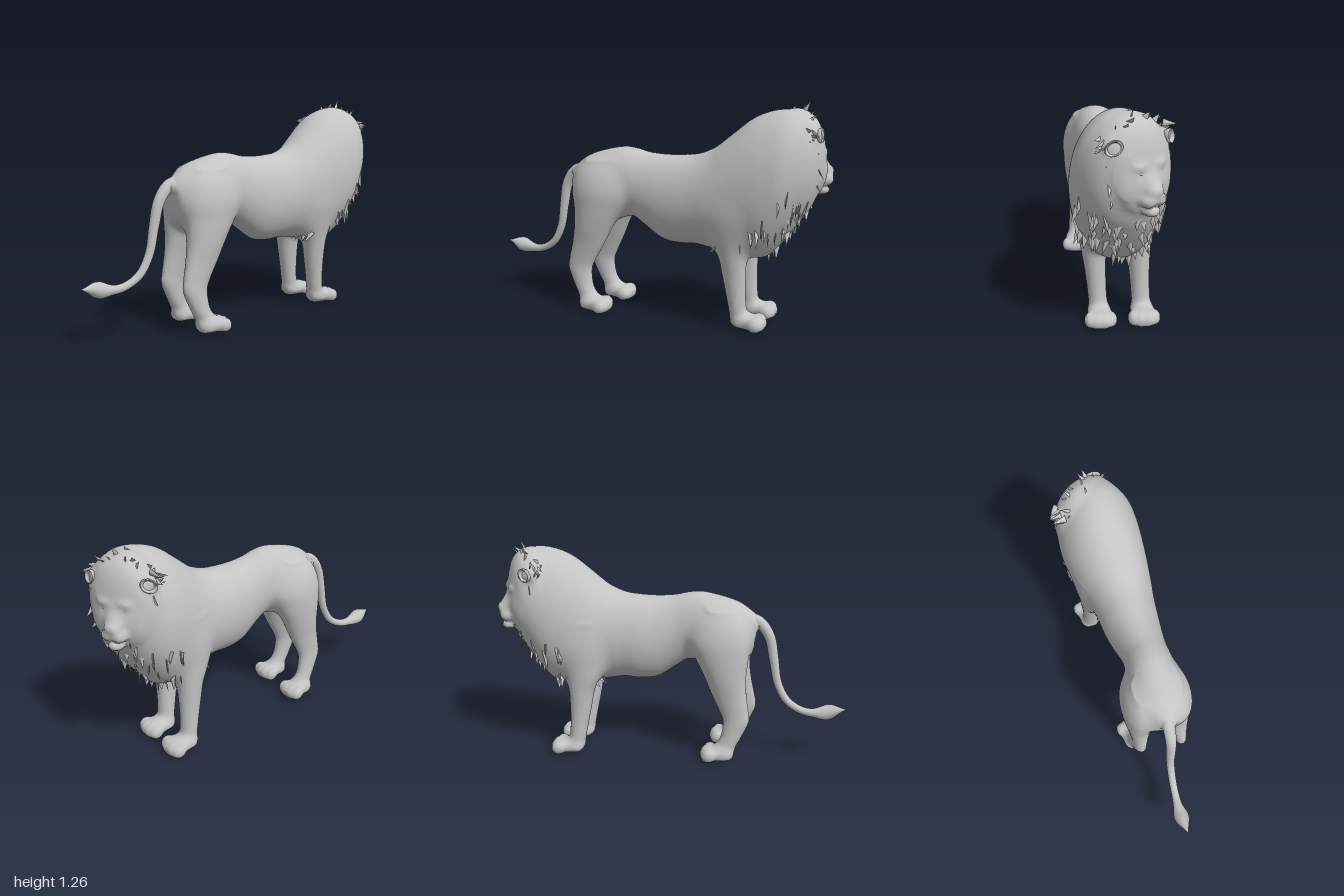
import * as THREE from 'three';

const fur = new THREE.MeshStandardMaterial({ color: 0xc4c4c4 });
fur.name = 'grey fur';

let seed = 7;
const rand = () => (seed = (seed * 16807) % 2147483647) / 2147483647;

// Smoothly interpolated row at t
function section(rows, t) {
  const i = Math.min(Math.floor(t), rows.length - 2), f = t - i;
  const r = k => rows[Math.max(0, Math.min(rows.length - 1, k))];
  return rows[0].map((_, k) => {
    const a = r(i - 1)[k], b = r(i)[k], c = r(i + 1)[k], d = r(i + 2)[k];
    return b + 0.5 * f * (c - a + f * (2 * a - 5 * b + 4 * c - d + f * (3 * (b - c) + d - a)));
  });
}

// Approximate distance to an ellipsoid
function ellipsoid(x, y, z, rx, ry, rz) {
  const k0 = Math.hypot(x / rx, y / ry, z / rz);
  const k1 = Math.hypot(x / rx / rx, y / ry / ry, z / rz / rz);
  return k1 < 1e-6 ? -Math.min(rx, ry, rz) : k0 * (k0 - 1) / k1;
}
const ballField = ([cx, cy, cz], [rx, ry, rz]) => (x, y, z) => ellipsoid(x - cx, y - cy, z - cz, rx, ry, rz);

// Distance to a body of elliptical sections [s, a0, a1, b0, b1], s rising along x (a = y) or y (a = x)
function loftField(rows, alongX) {
  const s0 = rows[0][0], s1 = rows[rows.length - 1][0], N = 120, table = [];
  for (let i = 0, t = 0; i <= N; i++) {
    const s = s0 + (s1 - s0) * i / N;
    while (t < rows.length - 1.01 && section(rows, t)[0] < s) t += 0.01;
    const [, a0, a1, b0, b1] = section(rows, t);
    table.push([(a0 + a1) / 2, (a1 - a0) / 2, (b0 + b1) / 2, (b1 - b0) / 2]);
  }
  return (x, y, z) => {
    const s = alongX ? x : y, a = alongX ? y : x, over = Math.max(s0 - s, s - s1);
    if (over > 0.08) return 1;
    const u = Math.max(0, Math.min(N - 1e-6, (s - s0) / (s1 - s0) * N)), i = Math.floor(u), f = u - i;
    const p = table[i], q = table[i + 1], mix = k => p[k] + (q[k] - p[k]) * f;
    return Math.max(ellipsoid(a - mix(0), z - mix(2), 0, mix(1), mix(3), 1), over);
  };
}

// Smoothly joined surface of all [field, blend] parts, meshed on a regular grid
function skin(parts, min, size, h) {
  const n = size.map(v => Math.ceil(v / h)), step = [1, n[0], n[0] * n[1]];
  const val = new Float32Array(n[0] * n[1] * n[2]), id = new Int32Array(val.length);
  const each = (from, fn) => {
    for (let k = from; k < n[2] - from; k++) for (let j = from; j < n[1] - from; j++)
      for (let i = from; i < n[0] - from; i++) fn(i + j * step[1] + k * step[2], [i, j, k]);
  };
  each(0, (o, c) => {
    const [x, y, z] = c.map((v, a) => min[a] + v * h);
    let d = 1;
    for (const [field, blend] of parts) {
      const e = field(x, y, z), w = Math.max(blend - Math.abs(d - e), 0);
      d = Math.min(d, e) - w * w / blend / 4;
    }
    val[o] = d;
  });
  const pos = [], index = [];
  const corner = c => (c & 1) * step[0] + (c >> 1 & 1) * step[1] + (c >> 2 & 1) * step[2];
  each(1, (o, cell) => {
    const sum = [0, 0, 0];
    let count = 0;
    for (let c = 0; c < 8; c++) for (let u = 0; u < 3; u++) {
      if (c >> u & 1) continue;
      const a = val[o + corner(c)], b = val[o + corner(c) + step[u]];
      if (a < 0 === b < 0) continue;
      for (let k = 0; k < 3; k++) sum[k] += (c >> k & 1) + (k === u ? a / (a - b) : 0);
      count++;
    }
    if (!count) return;
    id[o] = pos.length / 3;
    pos.push(...sum.map((v, k) => min[k] + (cell[k] + v / count) * h));
  });
  each(2, o => {
    for (let u = 0; u < 3; u++) {
      const inside = val[o] < 0;
      if (inside === val[o + step[u]] < 0) continue;
      const v = step[(u + 1) % 3], w = step[(u + 2) % 3];
      const a = id[o - v - w], b = id[o - w], c = id[o], d = id[o - v];
      index.push(...(inside ? [a, b, c, a, c, d] : [a, c, b, a, d, c]));
    }
  });
  const g = new THREE.BufferGeometry();
  g.setAttribute('position', new THREE.Float32BufferAttribute(pos, 3));
  g.setIndex(index);
  g.computeVertexNormals();
  return g;
}

function add(parent, name, geometry, p = [0, 0, 0], scale = [1, 1, 1]) {
  const m = new THREE.Mesh(geometry, fur);
  m.name = name;
  m.position.set(...p);
  m.scale.set(...scale);
  parent.add(m);
  return m;
}

// Flat pointed lock of hair, its broad side towards +x
const lock = new THREE.ConeGeometry(0.028, 0.1, 4).translate(0, 0.02, 0).toNonIndexed();
lock.computeVertexNormals();
function tuft(parent, name, p, dir, size) {
  const m = add(parent, name, lock, p.toArray(), [size, size * (0.6 + 0.7 * rand()), size * 0.3]);
  const y = dir.normalize(), x = new THREE.Vector3().crossVectors(y, new THREE.Vector3(1, 0, 0)).normalize();
  m.quaternion.setFromRotationMatrix(new THREE.Matrix4().makeBasis(x, y, new THREE.Vector3().crossVectors(x, y)));
  m.rotateY((rand() - 0.5) * 1.6);
}

// x, bottom, top, right, left
const bodyRows = [
  [-.47, .72, .82, 0, .1], [-.45, .62, .86, -.04, .13], [-.38, .57, .913, -.105, .18],
  [-.28, .56, .948, -.125, .205], [-.16, .56, .973, -.105, .19], [-.08, .57, .968, -.09, .18],
  [0, .52, .95, -.09, .18], [.1, .455, .942, -.11, .19], [.2, .44, .945, -.13, .2],
  [.3, .445, .957, -.14, .21], [.4, .43, 1, -.16, .225], [.5, .42, 1.08, -.19, .235],
  [.6, .4, 1.16, -.22, .243], [.7, .41, 1.203, -.235, .247], [.8, .52, 1.215, -.225, .235],
  [.88, .63, 1.195, -.19, .195], [.93, .71, 1.165, -.14, .155], [.96, .79, 1.12, -.085, .115], [.978, .86, 1.06, -.04, .06]];

// y, back, front, half width
const foreRows = [[.04, .525, .625, .05], [.1, .514, .612, .05], [.2, .495, .605, .052], [.3, .475, .605, .058],
  [.4, .455, .61, .068], [.52, .41, .63, .08], [.66, .41, .65, .082], [.78, .45, .62, .05]];
const hindRows = [[.03, -.385, -.27, .048], [.08, -.4, -.28, .046], [.15, -.435, -.315, .043], [.24, -.474, -.325, .043],
  [.3, -.472, -.305, .046], [.4, -.45, -.25, .06], [.5, -.435, -.2, .08], [.62, -.435, -.135, .096],
  [.72, -.435, -.11, .094], [.81, -.4, -.15, .065], [.88, -.34, -.22, .02]];

function legParts(rows, zTop, zFoot, heel, shift = 0) {
  const limb = rows.map(([y, x0, x1, w]) => {
    const low = 1 - Math.min(1, y / 0.62), z = THREE.MathUtils.lerp(zTop, zFoot, low), dx = shift * Math.min(1, low * 2);
    return [y, x0 + dx, x1 + dx, z - w, z + w];
  });
  const paw = [[0, .025, .065, -.03, .03], [.02, .004, .082, -.052, .052], [.07, 0, .092, -.064, .064],
    [.13, 0, .082, -.077, .077], [.165, .005, .066, -.068, .068], [.18, .02, .05, -.045, .045]]
    .map(([x, y0, y1, z0, z1]) => [x + heel + shift, y0, y1, z0 + zFoot, z1 + zFoot]);
  const parts = [[loftField(limb, false), .06], [loftField(paw, true), .03]];
  for (const o of [-1.5, -.5, .5, 1.5])
    parts.push([ballField([heel + shift + .155 - Math.abs(o) * .012, .042, zFoot + o * .04], [.036, .038, .025]), .02]);
  return parts;
}

// Head turned towards its right; local +x is where the face looks
const headX = .85, headZ = -.06, turn = Math.PI / 6;
function headParts() {
  const parts = [[loftField([[-.12, .95, 1.1, -.06, .06], [-.08, .82, 1.19, -.14, .14], [-.02, .74, 1.215, -.178, .178],
    [.04, .73, 1.19, -.17, .17], [.075, .745, 1.145, -.145, .145], [.095, .77, 1.085, -.108, .108],
    [.108, .81, 1.015, -.072, .072], [.125, .82, .965, -.054, .054], [.15, .825, .925, -.043, .043],
    [.168, .835, .9, -.028, .028]], true), .03],
  [ballField([.156, .882, 0], [.02, .02, .03]), .02], [ballField([.115, .778, 0], [.045, .027, .042]), .012]];
  for (const s of [-1, 1]) parts.push(
    [ballField([.13, .838, s * .03], [.04, .034, .036]), .018],
    [ballField([.07, .88, s * .07], [.035, .08, .05]), .05],
    [ballField([.096, .998, s * .052], [.022, .018, .036]), .03],
    // Ear root
    [ballField([.01, 1.085, s * .15], [.03, .04, .035]), .03]);
  const c = Math.cos(turn), n = Math.sin(turn);
  return parts.map(([field, blend]) =>
    [(x, y, z) => field((x - headX) * c - (z - headZ) * n, y, (x - headX) * n + (z - headZ) * c), blend]);
}

function buildFace(parent) {
  const head = new THREE.Group();
  head.name = 'headDetails';
  head.position.set(headX, 0, headZ);
  head.rotation.y = turn;
  parent.add(head);
  for (const s of [-1, 1]) {
    add(head, 'eye', new THREE.SphereGeometry(1, 16, 12), [.106, .968, s * .052], [.011, .009, .017]);
    // Cupped ear with a rounded rim
    const profile = [[0, -.035], [.04, -.025], [.056, .005], [.054, .018], [.045, .012], [.03, -.01], [0, -.016]];
    const ear = add(head, 'ear', new THREE.LatheGeometry(profile.map(p => new THREE.Vector2(...p)), 24),
      [.04, 1.09, s * .158], [.62, .9, .8]);
    ear.quaternion.setFromUnitVectors(new THREE.Vector3(0, 1, 0), new THREE.Vector3(.85, .1, s * .5).normalize());
    // Locks behind the ear
    for (let i = 0; i < 6; i++)
      tuft(head, 'earLock', new THREE.Vector3(.01 - .05 * rand(), 1.06 + .09 * rand(), s * (.165 + .02 * rand())),
        new THREE.Vector3(.3, rand() - .4, s), .7);
  }
  // Locks framing the face
  for (let i = 0; i < 36; i++) {
    const a = i / 36 * Math.PI * 2, c = Math.cos(a), s = Math.sin(a);
    const p = new THREE.Vector3(.03 - .1 * rand(), .965 + .235 * c, .17 * s);
    tuft(head, 'faceLock', p, new THREE.Vector3(.5 * rand(), c > .75 ? .35 : -.8, s * .6 + .5 * (rand() - .5)), .85);
  }
}

export function createModel() {
  const lion = new THREE.Group();
  lion.name = 'lion';
  add(lion, 'body', skin([
    [loftField(bodyRows, true), .01],
    [ballField([-.455, .81, .035], [.06, .04, .036]), .04],
    ...legParts(foreRows, .13, .09, .535), ...legParts(foreRows, -.11, -.14, .535),
    ...legParts(hindRows, .132, .163, -.385), ...legParts(hindRows, -.078, -.112, -.385, .025),
    ...headParts()], [-.56, -.035, -.3], [1.63, 1.31, .6], .011));
  buildFace(lion);

  // Hanging locks over the chest, thickest along its lower edge
  for (let i = 0; i < 60; i++) {
    const [x, y0, y1, z0, z1] = section(bodyRows, 12 + 4 * Math.pow(rand(), 1.3)), a = (rand() - .5) * 2.5;
    const p = new THREE.Vector3(x - .01, (y0 + y1) / 2 - (y1 - y0) / 2 * Math.cos(a),
      (z0 + z1) / 2 + (z1 - z0) / 2 * Math.sin(a) * .98);
    tuft(lion, 'chestLock', p, new THREE.Vector3(.15 * rand() - .1, -1, Math.sin(a) * .3 + .5 * (rand() - .5)), 1);
  }
  // Elbow locks
  for (const z of [-.11, .13]) for (let i = 0; i < 7; i++)
    tuft(lion, 'elbowLock', new THREE.Vector3(.4 + .05 * rand(), .45 + .03 * rand(), z + .12 * (rand() - .5)),
      new THREE.Vector3(-.6 + .6 * rand(), -.5, .4 * (rand() - .5)), .75);

  // Tail: tapered tube swelling into a tuft
  const path = new THREE.CatmullRomCurve3([[-.41, .835, .035], [-.485, .81, .032], [-.545, .73, .028], [-.575, .6, .023],
    [-.605, .45, .018], [-.665, .345, .012], [-.76, .292, .003], [-.86, .29, -.005], [-.93, .307, -.004],
    [-1, .318, 0]].map(p => new THREE.Vector3(...p)));
  const widths = [[.036], [.034], [.031], [.029], [.026], [.024], [.023], [.022], [.026], [.044], [.003]];
  const steps = 70, sides = 16;
  const tail = new THREE.TubeGeometry(path, steps, 1, sides);
  const pos = tail.attributes.position, v = new THREE.Vector3();
  for (let i = 0; i <= steps; i++) {
    const c = path.getPointAt(i / steps), [w] = section(widths, i / steps * (widths.length - 1));
    for (let j = 0; j <= sides; j++) {
      const k = i * (sides + 1) + j;
      v.fromBufferAttribute(pos, k).sub(c).multiplyScalar(w).add(c);
      pos.setXYZ(k, v.x, v.y, v.z);
    }
  }
  add(lion, 'tail', tail);
  return lion;
}
